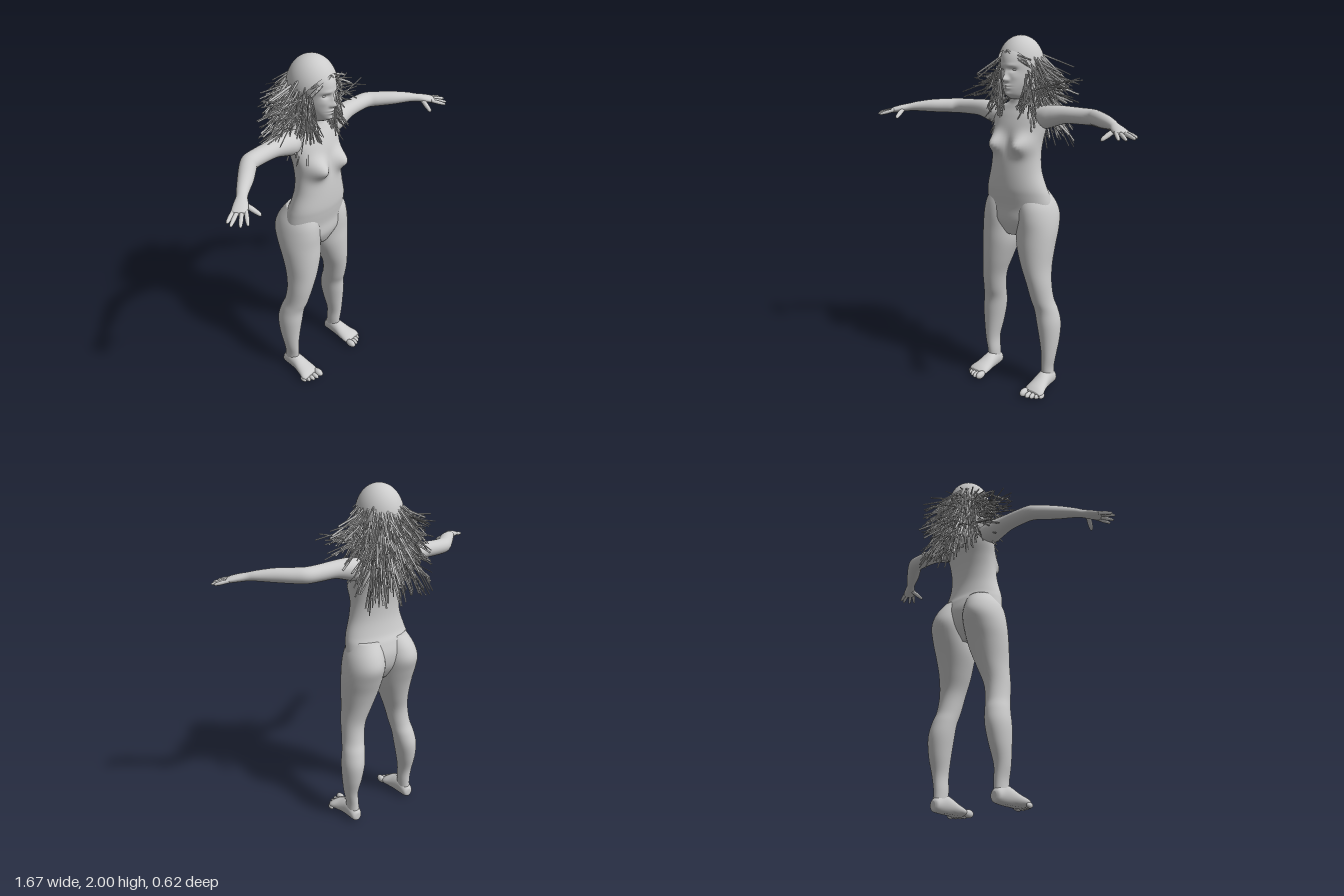
import * as THREE from 'three';
import { mergeGeometries } from 'three/addons/utils/BufferGeometryUtils.js';

// Smooth interpolation of section rows, k steps per interval
function refine(rows, k) {
  const out = [];
  const at = (i) => rows[Math.min(rows.length - 1, Math.max(0, i))];
  for (let i = 0; i < rows.length - 1; i++) {
    for (let s = 0; s < k; s++) {
      const t = s / k;
      out.push(rows[i].map((p1, c) => {
        const p0 = at(i - 1)[c], p2 = rows[i + 1][c], p3 = at(i + 2)[c];
        return p1 + 0.5 * t * (p2 - p0 + t * (2 * p0 - 5 * p1 + 4 * p2 - p3 + t * (3 * (p1 - p2) + p3 - p0)));
      }));
    }
  }
  out.push(rows[rows.length - 1]);
  return out;
}

// Closed loft of elliptical rings [x, y, z, ru, rv, yaw]; upright rings lie flat,
// the others stand across a horizontal direction given by yaw
function loft(rows, { upright = false, around = 28, k = 5, move } = {}) {
  const rings = refine(rows, k), pos = [], idx = [], v = new THREE.Vector3();
  for (const [x, y, z, ru, rv, yaw = 0] of rings) {
    for (let j = 0; j < around; j++) {
      const a = (j / around) * Math.PI * 2, u = Math.cos(a) * ru, w = Math.sin(a) * rv;
      if (upright) v.set(x + u, y, z - w);
      else v.set(x - Math.sin(yaw) * u, y - w, z + Math.cos(yaw) * u);
      if (move) move(v);
      pos.push(v.x, v.y, v.z);
    }
  }
  const n = rings.length;
  for (let i = 0; i < n - 1; i++) {
    for (let j = 0; j < around; j++) {
      const a = i * around + j, b = i * around + (j + 1) % around;
      idx.push(a, b, b + around, a, b + around, a + around);
    }
  }
  // End caps
  const c0 = pos.length / 3, last = (n - 1) * around;
  pos.push(...rings[0].slice(0, 3), ...rings[n - 1].slice(0, 3));
  for (let j = 0; j < around; j++) {
    const q = (j + 1) % around;
    idx.push(c0, q, j, c0 + 1, last + j, last + q);
  }
  const g = new THREE.BufferGeometry();
  g.setAttribute('position', new THREE.Float32BufferAttribute(pos, 3));
  g.setIndex(idx);
  g.computeVertexNormals();
  return g;
}

function mirrored(geo) {
  const g = geo.clone().scale(-1, 1, 1), ix = g.index.array;
  for (let i = 0; i < ix.length; i += 3) [ix[i], ix[i + 1]] = [ix[i + 1], ix[i]];
  return g;
}

function ball(x, y, z, rx, ry, rz) {
  return new THREE.SphereGeometry(1, 20, 14).scale(rx, ry, rz).translate(x, y, z);
}

// Tapered, slightly knuckled digit between two points
function digit(a, b, r) {
  const yaw = Math.atan2(b[2] - a[2], b[0] - a[0]);
  const rows = [[0, 1], [0.3, 0.95], [0.5, 1], [0.75, 0.85], [0.93, 0.65], [1, 0.15]].map(([t, s]) =>
    [0, 1, 2].map((c) => a[c] + (b[c] - a[c]) * t).concat(r * s, r * s, yaw));
  return loft(rows, { around: 12, k: 2 });
}

// Row [y, halfWidth, front, back] to an upright ring
const ring = ([y, w, f, b]) => [0, y, (f + b) / 2, w, (f - b) / 2];

// Push the front outward by soft bumps [x, y, sx, sy, amount], mirrored in x
const frontBumps = (list, zMin) => (v) => {
  if (v.z < zMin) return;
  const fade = Math.min(1, (v.z - zMin) / 0.03), ax = Math.abs(v.x), y = v.y;
  for (const [x, cy, sx, sy, d] of list) v.z += fade * d * Math.exp(-(((ax - x) / sx) ** 2) - ((y - cy) / sy) ** 2);
};

export function createModel() {
  const model = new THREE.Group();
  const grey = new THREE.MeshStandardMaterial({ color: 0xcccccc, side: THREE.DoubleSide });
  grey.name = 'plain grey';
  const add = (name, geo) => {
    const m = new THREE.Mesh(geo, grey);
    m.name = name;
    model.add(m);
  };
  const addPair = (name, geo) => {
    add('left' + name, geo);
    add('right' + name, mirrored(geo));
  };

  // Torso and neck
  add('torso', loft([
    [0.92, 0.07, 0.09, -0.05], [1.0, 0.185, 0.122, -0.1], [1.08, 0.203, 0.125, -0.115], [1.15, 0.197, 0.135, -0.1],
    [1.2, 0.185, 0.14, -0.08], [1.28, 0.16, 0.138, -0.065], [1.36, 0.15, 0.13, -0.065], [1.44, 0.152, 0.112, -0.075],
    [1.52, 0.165, 0.1, -0.09], [1.58, 0.165, 0.08, -0.09], [1.625, 0.125, 0.06, -0.08], [1.66, 0.065, 0.05, -0.07],
    [1.73, 0.055, 0.05, -0.06],
  ].map(ring), { upright: true, around: 64, k: 6, move: frontBumps([[0.085, 1.435, 0.052, 0.05, 0.068]], 0.01) }));

  // Legs
  addPair('Leg', loft([
    [0.2, 0.05, -0.005, 0.034, 0.045], [0.2, 0.12, 0, 0.034, 0.048], [0.208, 0.2, 0, 0.04, 0.052],
    [0.205, 0.3, -0.01, 0.055, 0.068], [0.197, 0.4, -0.012, 0.066, 0.078], [0.185, 0.48, -0.002, 0.066, 0.073],
    [0.172, 0.55, 0.02, 0.064, 0.072], [0.158, 0.65, 0.035, 0.07, 0.078], [0.137, 0.75, 0.03, 0.086, 0.095],
    [0.122, 0.86, 0.015, 0.108, 0.113], [0.119, 0.95, -0.003, 0.115, 0.128], [0.116, 1.03, -0.015, 0.111, 0.14],
    [0.108, 1.1, -0.01, 0.1, 0.126], [0.09, 1.17, 0, 0.08, 0.09],
  ], { upright: true, around: 40 }));

  // Feet with toes
  const h = Math.PI / 2;
  const foot = [loft([
    [0.2, 0.04, -0.06, 0.012, 0.02, h], [0.2, 0.042, -0.048, 0.032, 0.036, h], [0.2, 0.055, 0, 0.039, 0.055, h],
    [0.2, 0.05, 0.05, 0.044, 0.05, h], [0.203, 0.038, 0.1, 0.053, 0.038, h], [0.208, 0.029, 0.145, 0.061, 0.028, h],
    [0.208, 0.025, 0.17, 0.05, 0.016, h],
  ], { move: (v) => { v.y = Math.max(0.005, v.y); } })];
  for (let i = 0; i < 5; i++) {
    const r = i ? 0.0145 - i * 0.0007 : 0.02;
    foot.push(ball([0.163, 0.194, 0.219, 0.242, 0.262][i], r + 0.003, 0.182 - i * i * 0.0022, r, r + 0.003, 0.036 - i * 0.003));
  }
  addPair('Foot', mergeGeometries(foot.map((g) => (g.deleteAttribute('uv'), g))));

  // Arms, bent forward at the elbow, ending in the palm
  addPair('Arm', loft([
    [0.1, 1.575, -0.015, 0.05, 0.055, 0], [0.17, 1.58, -0.012, 0.062, 0.062, 0], [0.22, 1.59, -0.01, 0.057, 0.057, 0],
    [0.29, 1.6, -0.01, 0.048, 0.046, 0], [0.38, 1.6, -0.012, 0.045, 0.043, 0], [0.45, 1.6, -0.005, 0.045, 0.042, 0.25],
    [0.5, 1.6, 0.03, 0.043, 0.04, 0.55], [0.57, 1.6, 0.09, 0.039, 0.036, 0.7], [0.64, 1.597, 0.145, 0.03, 0.027, 0.7],
    [0.675, 1.592, 0.175, 0.026, 0.022, 0.68], [0.71, 1.585, 0.205, 0.034, 0.02, 0.7], [0.745, 1.577, 0.232, 0.037, 0.016, 0.7],
    [0.757, 1.574, 0.242, 0.03, 0.01, 0.7],
  ]));

  // Fingers and thumb
  const tips = [[0.828, 1.563, 0.24], [0.832, 1.56, 0.266], [0.806, 1.557, 0.3], [0.775, 1.557, 0.315]];
  const hand = tips.map((tip, i) => {
    const o = (i - 1.5) * 0.018;
    return digit([0.741 - 0.64 * o, 1.577, 0.23 + 0.77 * o], tip, 0.0105);
  });
  hand.push(digit([0.695, 1.582, 0.205], [0.668, 1.542, 0.287], 0.014));
  addPair('Fingers', mergeGeometries(hand));

  // Head: nose, sockets, brow, lips, chin and cheeks are soft bumps
  add('head', loft([
    [1.67, 0.03, 0.07, -0.04], [1.69, 0.046, 0.105, -0.06], [1.72, 0.06, 0.122, -0.075], [1.76, 0.075, 0.125, -0.09],
    [1.81, 0.084, 0.125, -0.11], [1.86, 0.088, 0.13, -0.12], [1.91, 0.085, 0.115, -0.12], [1.96, 0.06, 0.07, -0.085],
    [1.975, 0.02, 0.02, -0.03],
  ].map(ring), { upright: true, around: 110, k: 10, move: frontBumps([
    [0, 1.778, 0.014, 0.014, 0.025], [0, 1.8, 0.01, 0.026, 0.012], [0.014, 1.774, 0.007, 0.007, 0.007],
    [0.034, 1.826, 0.018, 0.011, -0.013], [0.03, 1.848, 0.025, 0.009, 0.004], [0, 1.745, 0.02, 0.006, 0.009],
    [0, 1.732, 0.017, 0.006, 0.009], [0, 1.738, 0.025, 0.003, -0.005], [0, 1.7, 0.02, 0.012, 0.009],
    [0.045, 1.79, 0.02, 0.018, 0.004],
  ], 0.03) }));
  addPair('Eye', ball(0.034, 1.826, 0.096, 0.014, 0.008, 0.012));
  addPair('Ear', ball(0.088, 1.81, 0.0, 0.01, 0.03, 0.018));

  // Smooth hair cap, tilted back from the face
  add('hairCap', new THREE.SphereGeometry(1, 48, 32, 0, Math.PI * 2, 0, 1.83)
    .rotateX(-0.8).scale(0.122, 0.155, 0.135).translate(0, 1.845, -0.008));

  // Loose straight strands
  let seed = 7;
  const rnd = (a, b) => {
    seed = (seed * 16807) % 2147483647;
    return a + (b - a) * (seed / 2147483647);
  };
  const strands = [], up = new THREE.Vector3(0, 1, 0);
  const strand = (a, b, r = rnd(0.004, 0.0085)) => {
    const p = new THREE.Vector3(...a), d = new THREE.Vector3(...b).sub(p), len = d.length();
    const q = new THREE.Quaternion().setFromUnitVectors(up, d.normalize());
    strands.push(new THREE.CylinderGeometry(r * 0.7, r, len, 5).translate(0, len / 2, 0).scale(1, 1, 0.7)
      .applyQuaternion(q).translate(p.x, p.y, p.z).toNonIndexed());
  };
  // Mane around the back and sides
  for (let i = 0; i < 420; i++) {
    const a = rnd(-2.05, 2.05), s = Math.sin(a), c = -Math.cos(a), y = rnd(1.62, 1.9);
    const root = 0.85 + 0.15 * Math.sin((y - 1.62) * 9), side = Math.abs(s);
    const out = rnd(0.02, 0.17) * (c > 0.15 ? 0.5 : 1), drop = rnd(0.06, 0.24) * (1 - 0.35 * side);
    strand([0.115 * s * root, y, -0.012 + 0.12 * c * root],
      [(0.115 + out) * s + rnd(-0.03, 0.03), y - drop, -0.012 + (0.12 + out) * c + rnd(-0.02, 0.02)]);
  }
  for (const s of [1, -1]) {
    // Locks hanging beside the face and neck
    for (let i = 0; i < 32; i++) {
      strand([s * rnd(0.075, 0.11), rnd(1.68, 1.84), rnd(0.02, 0.07)], [s * rnd(0.04, 0.16), rnd(1.57, 1.68), rnd(0.06, 0.11)], 0.005);
    }
    // Wisps blown sideways
    for (let i = 0; i < 24; i++) {
      strand([s * 0.1, rnd(1.7, 1.84), rnd(-0.04, 0.05)], [s * rnd(0.2, 0.36), rnd(1.66, 1.82), rnd(-0.08, 0.09)], 0.005);
    }
    // Long ends over the shoulders and back
    for (let i = 0; i < 34; i++) {
      const x = rnd(0, 0.24);
      strand([s * x * 0.5, rnd(1.62, 1.72), rnd(-0.13, -0.08)], [s * x, rnd(1.38, 1.52), rnd(-0.22, -0.12)]);
    }
  }
  // Locks across the forehead
  for (let i = 0; i < 16; i++) {
    const s = i % 2 ? 1 : -1, t = rnd(0, 0.03);
    strand([s * t, 1.925 - t, 0.112], [s * rnd(0.085, 0.12), rnd(1.83, 1.88), rnd(0.06, 0.09)], 0.005);
  }
  add('hairStrands', mergeGeometries(strands));
  return model;
}
